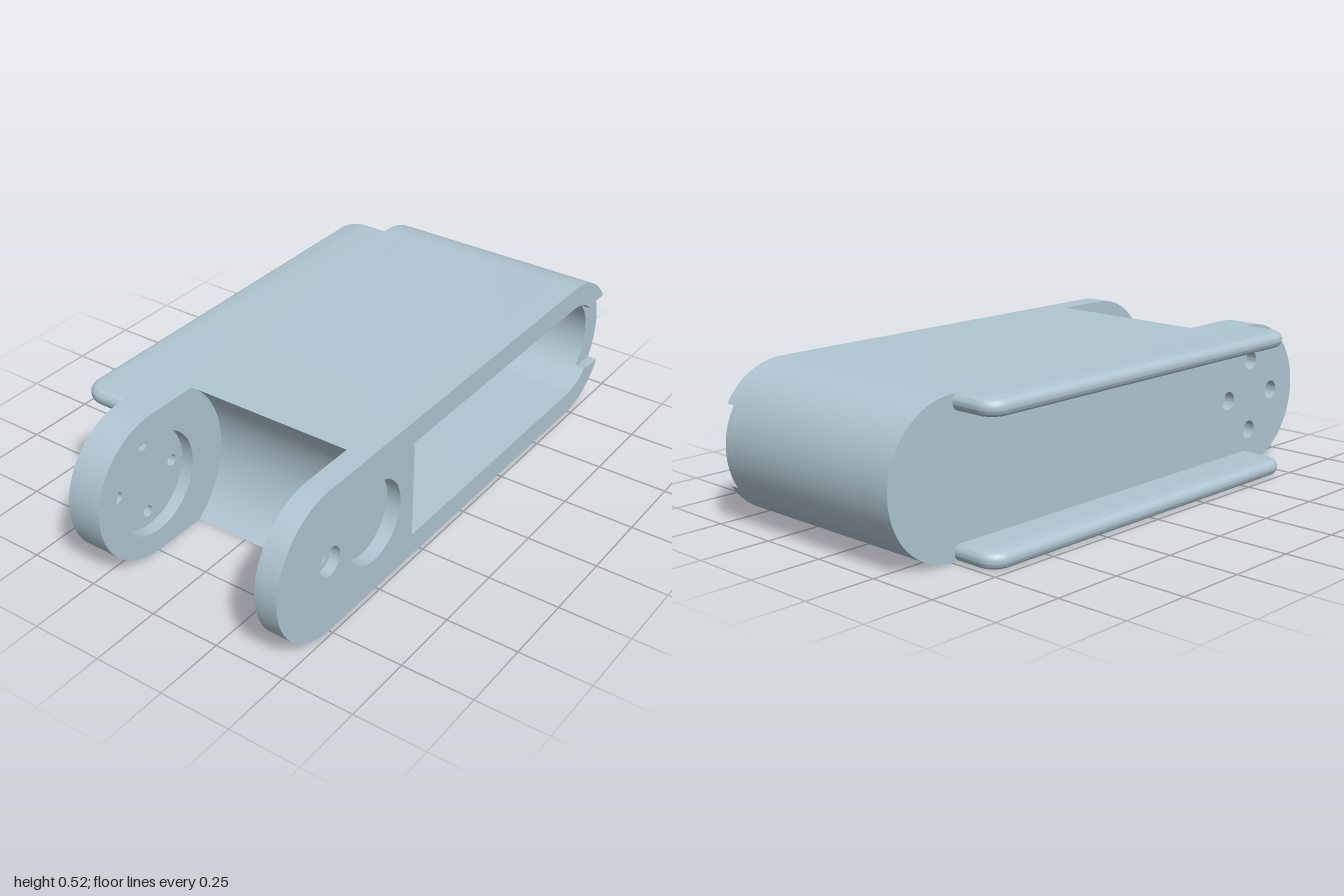
import * as THREE from 'three';
import { mergeGeometries, toCreasedNormals } from 'three/addons/utils/BufferGeometryUtils.js';

const R = 0.259, CX = 0.741, CY = 0.259;           // stadium outline
const CR = 0.178, CVX = 0.737, CVL = -0.295;       // inner cavity
const CUT = 0.325;                                 // clearance radius of the hinge gap
const FRONT = 0.485, BACK = -0.32;
const rad = Math.PI / 180;
const cutAngle = Math.asin(R / CUT) / rad;
const notchAngle = Math.asin(0.136 / R) / rad;

// Points on an arc, angles in degrees; runs clockwise when a1 < a0
function arc(cx, cy, r, a0, a1) {
  const n = Math.max(4, Math.ceil(Math.abs(a1 - a0) / 5));
  return Array.from({ length: n + 1 }, (_, i) => {
    const a = (a0 + (a1 - a0) * i / n) * rad;
    return new THREE.Vector2(cx + r * Math.cos(a), cy + r * Math.sin(a));
  });
}
const circle = (x, y, r) => arc(x, y, r, 0, 360).slice(0, -1);
const hole = (x, y, r) => circle(x, y, r).reverse();
const P = (x, y) => new THREE.Vector2(x, y);

// Closed wall along a path with the solid on its left
function wall(pts, z0, z1) {
  const pos = [];
  pts.forEach((p, i) => {
    const q = pts[(i + 1) % pts.length];
    pos.push(p.x, p.y, z0, q.x, q.y, z0, q.x, q.y, z1);
    pos.push(p.x, p.y, z0, q.x, q.y, z1, p.x, p.y, z1);
  });
  const g = new THREE.BufferGeometry();
  g.setAttribute('position', new THREE.Float32BufferAttribute(pos, 3));
  return toCreasedNormals(g, 0.5);
}

// Flat face at depth z, facing front (+1) or back (-1)
function cap(pts, z, dir = 1, holes = []) {
  const s = new THREE.Shape(pts);
  s.holes = holes.map(h => new THREE.Path(h));
  let g = new THREE.ShapeGeometry(s).toNonIndexed();
  g.deleteAttribute('uv');
  if (dir < 0) {
    const a = g.attributes.position;
    for (let i = 0; i < a.count; i += 3) {
      const x = a.getX(i), y = a.getY(i);
      a.setXY(i, a.getX(i + 1), a.getY(i + 1));
      a.setXY(i + 1, x, y);
    }
  }
  g.translate(0, 0, z);
  g.computeVertexNormals();
  return g;
}

export function createModel() {
  const group = new THREE.Group();
  const metal = new THREE.MeshStandardMaterial({ color: 0xb0c6d1 });
  metal.name = 'pale blue grey';
  const add = (name, ...geos) => {
    const m = new THREE.Mesh(geos.length > 1 ? mergeGeometries(geos) : geos[0], metal);
    m.name = name;
    group.add(m);
  };

  // Outlines
  const leftArc = arc(-CX, CY, R, 90, 270);
  const stadium = [...arc(CX, CY, R, -90, 90), ...leftArc];
  const ear = [...leftArc, ...arc(-CX, CY, CUT, -cutAngle, cutAngle)];
  const body = [...arc(CX, CY, R, -90, 90), ...arc(-CX, CY, CUT, cutAngle, -cutAngle)];
  const cavity = [...arc(CVX, CY, CR, -90, 90), P(CVL, CY + CR), P(CVL, CY - CR)];
  const notchTop = P(0.89, CY + 0.136), notchLow = P(0.89, CY - 0.136);
  const openRim = [
    ...arc(CX, CY, R, notchAngle, 90), ...leftArc, ...arc(CX, CY, R, -90, -notchAngle),
    notchLow, ...arc(CVX, CY, CR, -45, -90), P(CVL, CY - CR), P(CVL, CY + CR),
    ...arc(CVX, CY, CR, 90, 45), notchTop,
  ];
  const notchFloor = [
    ...arc(CX, CY, R, -notchAngle, notchAngle), notchTop,
    ...arc(CVX, CY, CR, 45, -45), notchLow,
  ];

  // Housing sides, with the hinge gap in the middle and the notched rim in front
  add('housingSides',
    wall(stadium, BACK, -0.195), wall(body, -0.195, 0.405),
    wall(stadium, 0.405, 0.45), wall(openRim, 0.45, FRONT));
  add('notchFloor', cap(notchFloor, 0.45));

  // Front face, shallow round pocket and pivot screw hole
  const pocket = [-0.51, CY, 0.143], bore = [-CX, CY, 0.05], pin = [-CX, CY, 0.028];
  add('frontFace', cap(openRim, FRONT, 1, [hole(...pocket), hole(...bore)]));
  add('frontPocket', wall(hole(...pocket), 0.435, FRONT), cap(circle(...pocket), 0.435));
  add('pivotHole',
    wall(hole(...bore), 0.45, FRONT), cap(circle(...bore), 0.45, 1, [hole(...pin)]),
    wall(hole(...pin), 0.405, 0.45));

  // Main cavity
  add('cavity', wall([...cavity].reverse(), -0.24, 0.45), cap(cavity, -0.24));

  // Inner faces of the two hinge ears
  const disc = [-CX, CY, 0.18];
  add('frontEarInside', cap(ear, 0.405, -1, [hole(...pin)]));
  add('backEarInside', cap(ear, -0.195, 1, [hole(...disc)]));

  // Round seat in the back ear with four counterbored screw holes
  const spots = [0, 1, 2, 3].map(i =>
    [-CX + 0.128 * Math.cos(i * Math.PI / 2), CY + 0.128 * Math.sin(i * Math.PI / 2)]);
  add('hornSeat',
    wall(hole(...disc), -0.24, -0.195),
    cap(circle(...disc), -0.24, 1, spots.map(s => hole(...s, 0.02))));
  spots.forEach(s => add('screwHole',
    wall(hole(...s, 0.02), -0.28, -0.24),
    cap(circle(...s, 0.033), -0.28, -1, [hole(...s, 0.02)]),
    wall(hole(...s, 0.033), BACK, -0.28)));
  add('backFace', cap(stadium, BACK, -1, spots.map(s => hole(...s, 0.033))));

  // Rounded rails along the top and bottom of the back
  const b = 0.025, w = 0.74 - b, d = 0.485 - b, c = 0.045;
  const outline = new THREE.Shape([
    P(-w, 0.315), P(w, 0.315),
    ...arc(w - c, d - c, c, 0, 90), ...arc(-w + c, d - c, c, 90, 180),
  ]);
  const rail = new THREE.ExtrudeGeometry(outline, {
    depth: 0.004, bevelEnabled: true, bevelSize: b, bevelThickness: b, bevelSegments: 6,
  });
  rail.rotateX(-Math.PI / 2);
  rail.translate(0, b, 0);
  const smoothRail = toCreasedNormals(rail, 0.6);
  add('bottomRail', smoothRail);
  add('topRail', smoothRail.clone().translate(0, 2 * R - 0.054, 0));

  return group;
}
